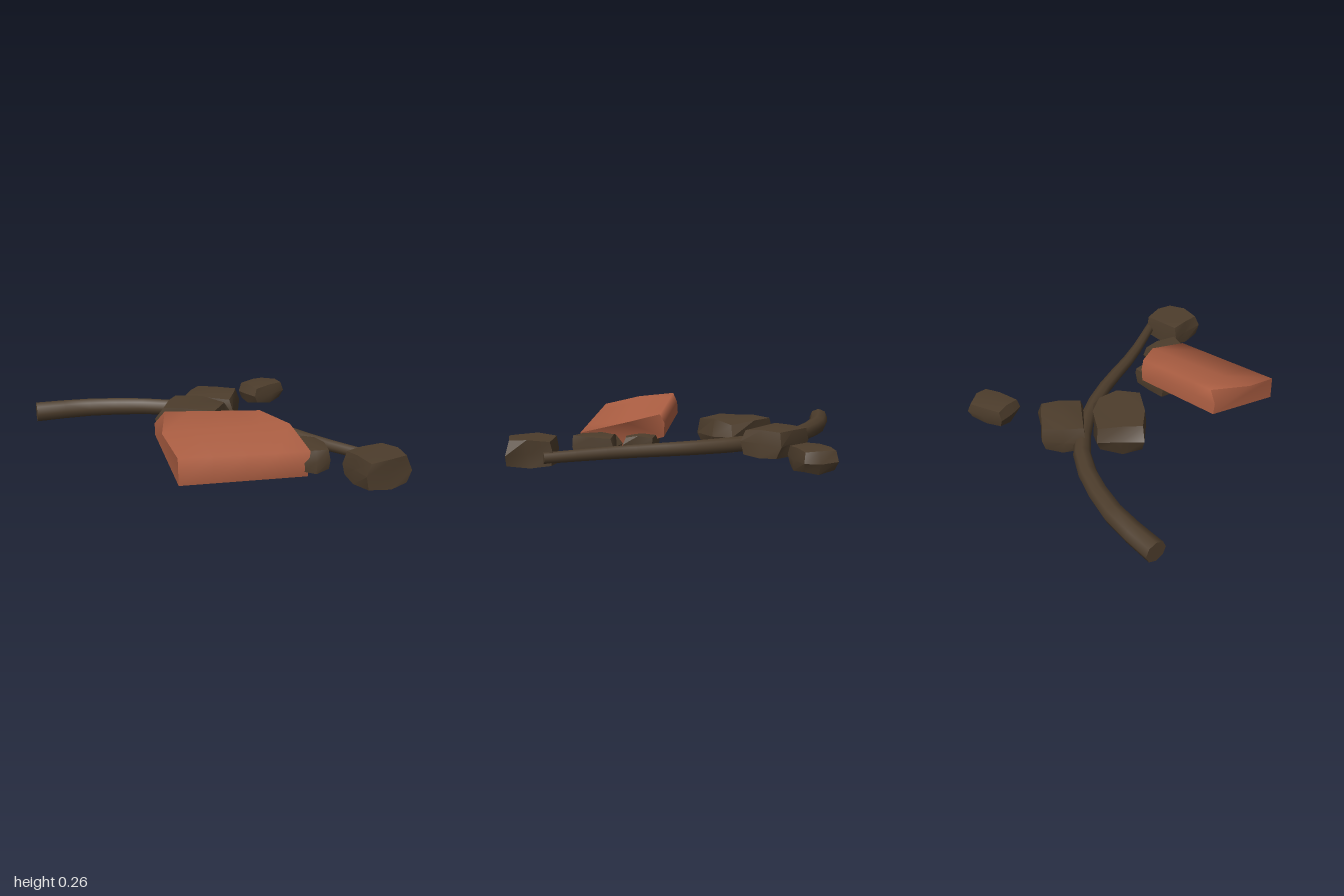
import * as THREE from 'three';
import { mergeVertices, toCreasedNormals } from 'three/addons/utils/BufferGeometryUtils.js';

const earth = new THREE.MeshStandardMaterial({ color: 0x4d3d2c });
earth.name = 'dark earth brown';
const clay = new THREE.MeshStandardMaterial({ color: 0xad5f43, side: THREE.DoubleSide });
clay.name = 'terracotta';

const V = (x, y, z) => new THREE.Vector3(x, y, z);

// Small seeded generator, returns -1..1
function seeded(seed) {
  let s = seed * 7919 + 17;
  return () => {
    s = (s * 16807) % 2147483647;
    return (s / 2147483647) * 2 - 1;
  };
}

// Worn block: a coarse box with its corners pulled in and its points jittered
function rock(name, [cx, cy, cz], [w, h, d], degrees, seed) {
  const rnd = seeded(seed);
  for (let i = 0; i < 5; i++) rnd();
  let geo = new THREE.BoxGeometry(1, 1, 1, 2, 2, 2);
  geo.deleteAttribute('normal');
  geo.deleteAttribute('uv');
  geo = mergeVertices(geo);
  const p = geo.attributes.position;
  for (let i = 0; i < p.count; i++) {
    const v = V(0, 0, 0).fromBufferAttribute(p, i);
    const outer = Math.round((Math.abs(v.x) + Math.abs(v.y) + Math.abs(v.z)) * 2);
    v.multiplyScalar(outer === 3 ? 0.84 : outer === 2 ? 0.95 : 1);
    v.add(V(rnd(), rnd(), rnd()).multiplyScalar(0.055));
    p.setXYZ(i, v.x * w, v.y * h, v.z * d);
  }
  const mesh = new THREE.Mesh(toCreasedNormals(geo, 0.6), earth);
  mesh.name = name;
  mesh.position.set(cx, cy, cz);
  mesh.rotation.y = THREE.MathUtils.degToRad(degrees);
  return mesh;
}

// Winding root that tapers to the right, with flat ends
function root() {
  const group = new THREE.Group();
  group.name = 'root';
  const path = new THREE.CatmullRomCurve3([
    [-0.97, 0.045], [-0.72, -0.115], [-0.35, -0.225], [-0.03, -0.19],
    [0.24, -0.08], [0.55, 0.1], [0.88, 0.25],
  ].map(([x, z]) => V(x, 0.07, z)));
  const steps = 14, sides = 8, r0 = 0.053, r1 = 0.026;
  const geo = new THREE.TubeGeometry(path, steps, 1, sides, false);
  const p = geo.attributes.position;
  for (let i = 0; i < p.count; i++) {
    const t = Math.floor(i / (sides + 1)) / steps;
    const c = path.getPointAt(t);
    const v = V(0, 0, 0).fromBufferAttribute(p, i);
    v.sub(c).multiplyScalar(r0 + (r1 - r0) * t).add(c);
    p.setXYZ(i, v.x, v.y, v.z);
  }
  const body = new THREE.Mesh(geo, earth);
  body.name = 'rootBody';
  group.add(body);
  for (const [t, r, dir] of [[0, r0, -1], [1, r1, 1]]) {
    const cap = new THREE.Mesh(new THREE.CircleGeometry(r, sides), earth);
    cap.name = 'rootEnd';
    cap.position.copy(path.getPointAt(t));
    cap.lookAt(cap.position.clone().addScaledVector(path.getTangentAt(t), dir));
    group.add(cap);
  }
  return group;
}

// Hollow clay shard: two end profiles joined lengthwise, open underneath
function shard() {
  const group = new THREE.Group();
  group.name = 'clayShard';
  const left = [
    V(-0.155, 0.15, 0.43), V(-0.155, 0.21, 0.435), V(-0.11, 0.265, 0.42),
    V(-0.05, 0.235, 0.63), V(0.07, 0.19, 0.78), V(0.075, 0.07, 0.785),
  ];
  const right = [
    V(0.25, 0.1, 0.125), V(0.25, 0.17, 0.12), V(0.27, 0.215, 0.13),
    V(0.43, 0.185, 0.2), V(0.56, 0.13, 0.39), V(0.55, 0.005, 0.38),
  ];
  const n = left.length, steps = 4, points = [], index = [];
  for (let s = 0; s <= steps; s++) {
    for (let i = 0; i < n; i++) points.push(left[i].clone().lerp(right[i], s / steps));
  }
  for (let s = 0; s < steps; s++) {
    for (let i = 0; i < n - 1; i++) {
      const a = s * n + i, b = a + n;
      index.push(a, a + 1, b, a + 1, b + 1, b);
    }
  }
  const add = (name, pts, idx) => {
    const geo = new THREE.BufferGeometry().setFromPoints(pts);
    geo.setIndex(idx);
    geo.computeVertexNormals();
    const mesh = new THREE.Mesh(geo, clay);
    mesh.name = name;
    group.add(mesh);
  };
  add('shardShell', points, index);
  // End walls as fans
  const fan = [], back = [];
  for (let i = 1; i < n - 1; i++) {
    fan.push(0, i, i + 1);
    back.push(0, i + 1, i);
  }
  add('shardLeftEnd', left, back);
  add('shardRightEnd', right, fan);
  return group;
}

export function createModel() {
  const model = new THREE.Group();
  model.name = 'debris';
  model.add(
    root(),
    shard(),
    rock('backRock', [-0.095, 0.088, -0.315], [0.28, 0.14, 0.235], 0, 1),
    rock('middleRock', [-0.105, 0.097, -0.03], [0.33, 0.165, 0.26], -4, 2),
    rock('farRock', [0.1, 0.078, -0.665], [0.22, 0.11, 0.17], 56, 3),
    rock('sideRock', [0.842, 0.085, 0.375], [0.23, 0.135, 0.225], 43, 4),
    rock('shardEndRock', [0.54, 0.08, 0.29], [0.21, 0.11, 0.14], -62, 5),
    rock('underShardRock', [0.31, 0.07, 0.22], [0.22, 0.1, 0.16], 35, 6),
  );
  return model;
}
